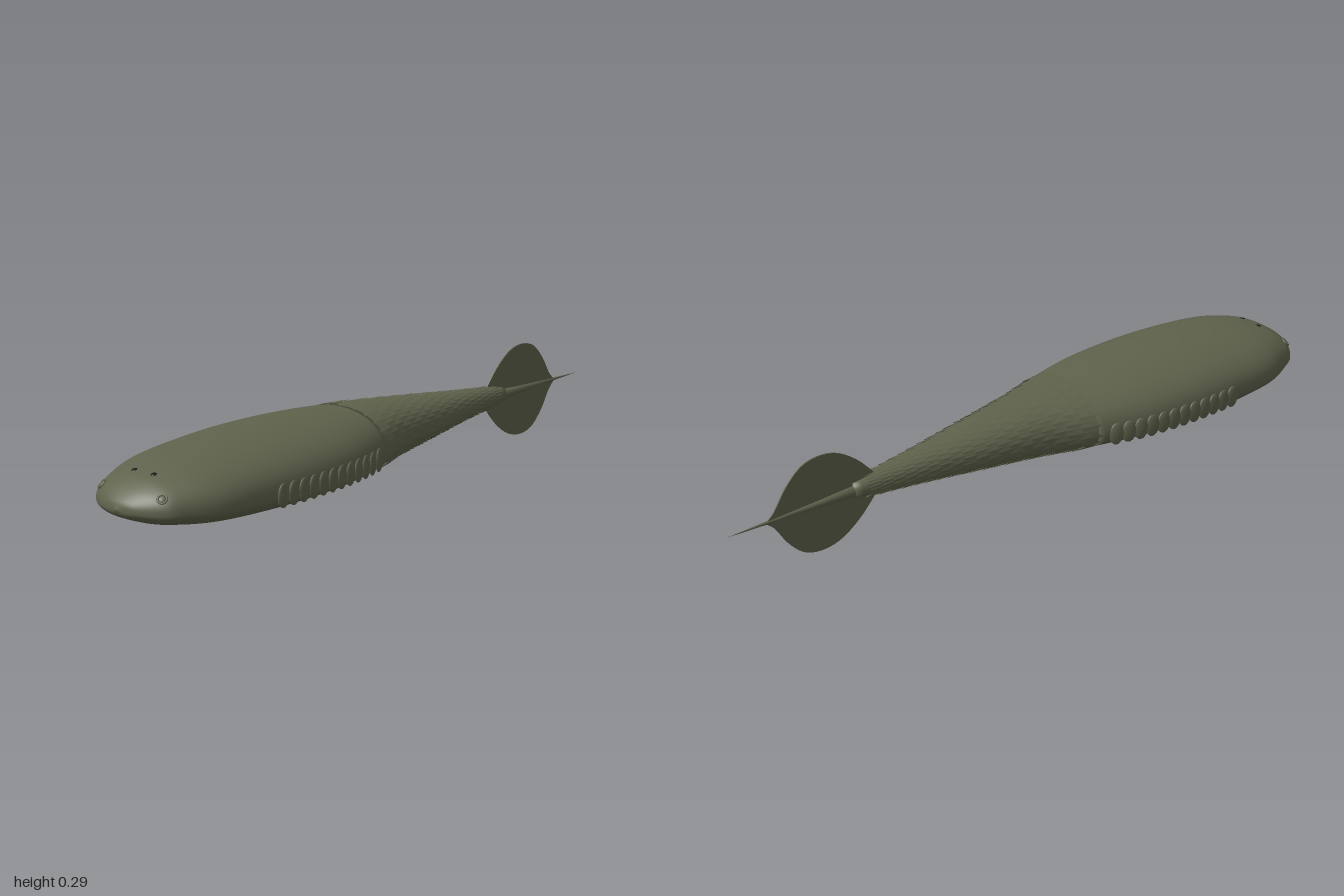
import * as THREE from 'three';
import { mergeGeometries } from 'three/addons/utils/BufferGeometryUtils.js';

const { Vector3, CatmullRomCurve3 } = THREE;

// Body stations from nose to tail: z, half width, top y, bottom y, widest y
const STATIONS = [
  [1.0, 0.0, 0.142, 0.138, 0.14], [0.988, 0.06, 0.166, 0.121, 0.138], [0.95, 0.128, 0.197, 0.103, 0.136],
  [0.9, 0.16, 0.22, 0.09, 0.135], [0.8, 0.2, 0.242, 0.076, 0.134], [0.65, 0.216, 0.256, 0.066, 0.134],
  [0.48, 0.221, 0.262, 0.062, 0.134], [0.3, 0.207, 0.259, 0.063, 0.135], [0.14, 0.168, 0.25, 0.066, 0.138],
  [0.0, 0.122, 0.237, 0.075, 0.142], [-0.2, 0.085, 0.215, 0.092, 0.145], [-0.4, 0.05, 0.192, 0.11, 0.147],
  [-0.6, 0.023, 0.171, 0.125, 0.148],
];
const heights = new CatmullRomCurve3(STATIONS.map(s => new Vector3(s[0], s[2], s[3])), false, 'catmullrom');
const widths = new CatmullRomCurve3(STATIONS.map(s => new Vector3(s[0], s[1], s[4])), false, 'catmullrom');

function paramAtZ(z) {
  let lo = 0, hi = 1;
  for (let i = 0; i < 30; i++) {
    const m = (lo + hi) / 2;
    if (heights.getPoint(m).x > z) lo = m; else hi = m;
  }
  return (lo + hi) / 2;
}

// Point on the body skin: t runs nose to tail, a runs round from +x
function skin(t, a) {
  const h = heights.getPoint(t), w = widths.getPoint(t);
  const c = Math.cos(a), s = Math.sin(a), e = 2 / 2.2;
  const reach = s > 0 ? h.y - w.z : w.z - h.z;
  return new Vector3(
    Math.sign(c) * Math.abs(c) ** e * Math.max(w.y, 0),
    w.z + Math.sign(s) * Math.abs(s) ** e * reach, h.x);
}

function skinNormal(t, a) {
  const d = 0.004;
  const along = skin(Math.min(t + d, 1), a).sub(skin(t - d, a));
  const round = skin(t, a + d).sub(skin(t, a - d));
  return along.cross(round).normalize();
}

// Closed loft between two stations, capped at both ends
function bodyLoft(t0, t1, rows, inset) {
  const n = 72, pos = [], index = [];
  for (let i = 0; i <= rows + 2; i++) {
    const t = t0 + (t1 - t0) * THREE.MathUtils.clamp((i - 1) / rows, 0, 1);
    const mid = new Vector3(0, widths.getPoint(t).z, heights.getPoint(t).x);
    for (let j = 0; j < n; j++) {
      const p = i === 0 || i === rows + 2 ? mid : skin(t, j / n * Math.PI * 2).lerp(mid, inset);
      pos.push(p.x, p.y, p.z);
      if (i > rows + 1) continue;
      const a = i * n + j, b = i * n + (j + 1) % n;
      index.push(a, a + n, b, b, a + n, b + n);
    }
  }
  const g = new THREE.BufferGeometry();
  g.setAttribute('position', new THREE.Float32BufferAttribute(pos, 3));
  g.setIndex(index);
  g.computeVertexNormals();
  return g;
}

// One overlapping plate following the skin, rounded and lifted at its rear
function scalePlate(t, a, dt, da) {
  const outline = [[0, -1], [0.9, -0.25], [0.95, 0.2], [0.6, 0.75], [0, 1], [-0.6, 0.75], [-0.95, 0.2], [-0.9, -0.25]];
  const at = ([u, v]) => {
    const tt = Math.min(t + v * dt, 0.995), aa = a + u * da;
    const lift = 0.0005 + 0.0028 * (v + 1) * (1 - 0.35 * Math.abs(u));
    return skin(tt, aa).addScaledVector(skinNormal(tt, aa), lift);
  };
  const mid = at([0, 0]), rim = outline.map(at), pts = [];
  rim.forEach((p, i) => pts.push(mid, p, rim[(i + 1) % rim.length]));
  const g = new THREE.BufferGeometry().setFromPoints(pts);
  g.computeVertexNormals();
  return g;
}

export function createModel() {
  const model = new THREE.Group();
  const olive = new THREE.MeshStandardMaterial({ color: 0x5f634c });
  const oliveThin = new THREE.MeshStandardMaterial({ color: 0x5f634c, side: THREE.DoubleSide });
  const dark = new THREE.MeshStandardMaterial({ color: 0x15150f });
  const add = (name, geometry, material, parent = model) => {
    const m = new THREE.Mesh(geometry, material);
    m.name = name;
    parent.add(m);
    return m;
  };
  const shieldEnd = paramAtZ(0.14);

  // Smooth head shield and the narrower trunk behind it
  add('headShield', bodyLoft(0, shieldEnd, 64, 0), olive);
  add('trunk', bodyLoft(shieldEnd - 0.01, 1, 40, 0.02), olive);

  // Staggered rows of scales
  const plates = [], rows = 19, around = 24;
  for (let r = 0; r < rows; r++) {
    const t = paramAtZ(0.115 - r * 0.036);
    const dt = t - paramAtZ(0.115 - r * 0.036 + 0.034);
    for (let k = 0; k < around; k++) {
      plates.push(scalePlate(t, (k + (r % 2) / 2) / around * Math.PI * 2, dt, Math.PI / around));
    }
  }
  add('scales', mergeGeometries(plates), oliveThin);

  // Tail fin: a thin leaf-shaped plate, drawn in z and y
  const half = [[-0.5, 0.0], [-0.53, 0.038], [-0.58, 0.09], [-0.64, 0.13], [-0.7, 0.143],
    [-0.76, 0.13], [-0.81, 0.085], [-0.85, 0.026], [-0.88, 0.0]];
  const edge = s => new THREE.SplineCurve(half.map(([z, y]) => new THREE.Vector2(z, 0.145 + s * y))).getPoints(40);
  const fin = new THREE.ExtrudeGeometry(new THREE.Shape([...edge(1), ...edge(-1).reverse()]),
    { depth: 0.004, bevelEnabled: false });
  fin.translate(0, 0, -0.002).rotateY(-Math.PI / 2);
  add('tailFin', fin, oliveThin);

  // Spine through the fin, ending in a thin point
  const spine = new THREE.LatheGeometry([[0, 0], [0.018, 0], [0.011, 0.13], [0.006, 0.26], [0.004, 0.31], [0, 0.42]]
    .map(p => new THREE.Vector2(...p)), 12);
  spine.rotateX(-Math.PI / 2).translate(0, 0.146, -0.58);
  add('tailSpine', spine, olive);

  for (const side of [1, -1]) {
    const label = side > 0 ? 'left' : 'right';
    const angle = a => side > 0 ? a : Math.PI - a;

    // Row of gill flaps along the flank
    const gills = new THREE.Group();
    gills.name = label + 'Gills';
    for (let i = 0; i < 12; i++) {
      const t = paramAtZ(0.615 - i * 0.0385), p = skin(t, angle(0));
      const flap = add('gillFlap', new THREE.SphereGeometry(1, 14, 10), olive, gills);
      flap.scale.set(0.007, 0.034, 0.022);
      flap.position.set(p.x - side * 0.001, 0.134, p.z);
      const n = skinNormal(t, angle(0));
      flap.rotation.y = side * Math.asin(-n.z) + side * 0.08;
    }
    model.add(gills);

    // Parts set flush on the skin, facing outwards
    const place = (mesh, z, a, lift) => {
      const t = paramAtZ(z), n = skinNormal(t, angle(a));
      mesh.position.copy(skin(t, angle(a))).addScaledVector(n, lift);
      mesh.quaternion.setFromUnitVectors(new Vector3(0, 0, 1), n);
      return mesh;
    };
    place(add(label + 'EyeRing', new THREE.TorusGeometry(0.012, 0.003, 8, 20), olive), 0.944, 0.64, 0.001);
    const eye = place(add(label + 'Eye', new THREE.SphereGeometry(0.01, 14, 10), olive), 0.944, 0.64, 0);
    eye.scale.z = 0.4;
    const nostril = place(add(label + 'Nostril', new THREE.SphereGeometry(0.008, 12, 8), dark), 0.9, 1.38, 0);
    nostril.scale.z = 0.3;
  }
  return model;
}
